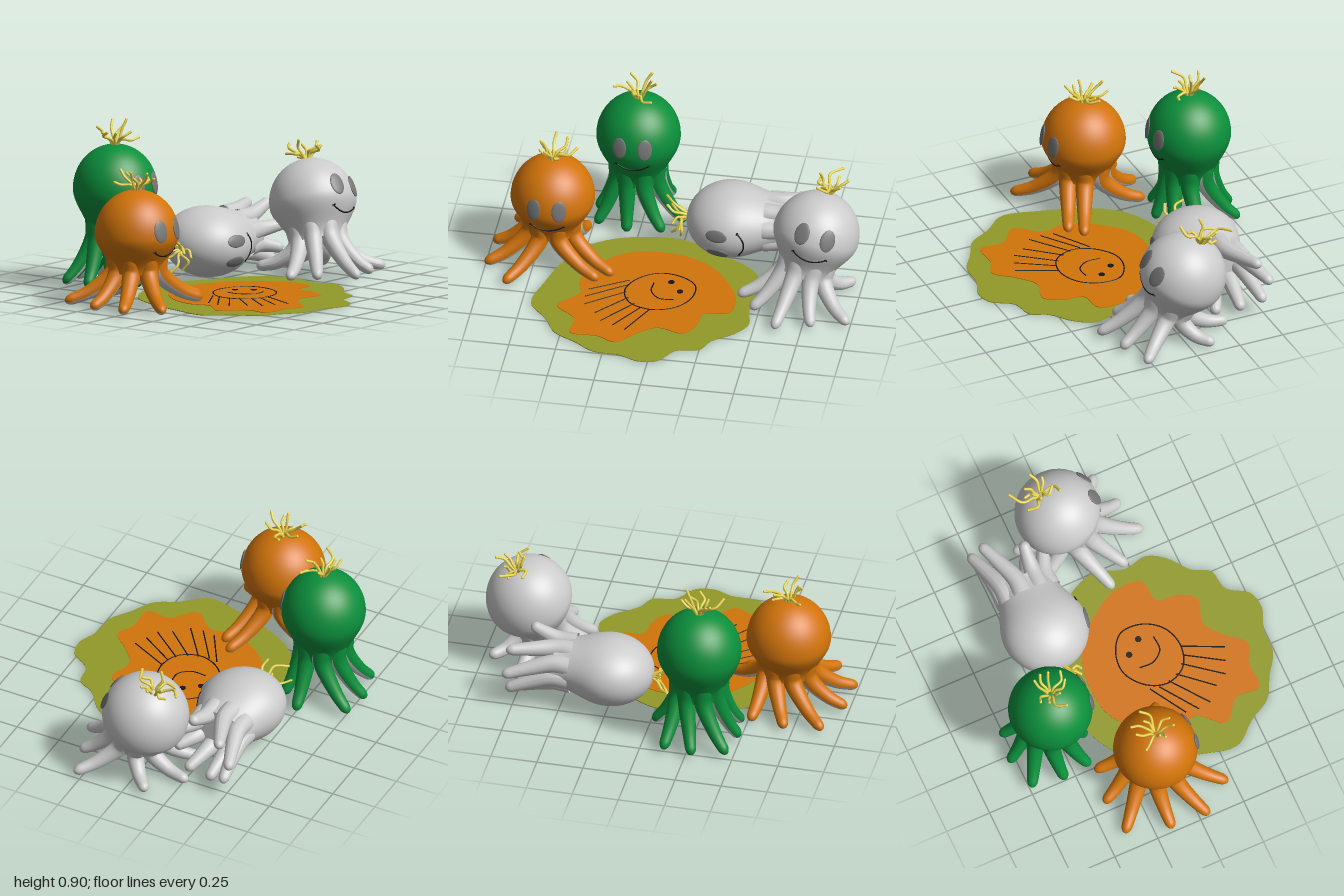
import * as THREE from 'three';

const V = (x, y, z) => new THREE.Vector3(x, y, z);
const mat = (color) => new THREE.MeshStandardMaterial({ color, side: THREE.DoubleSide });
const GREY = mat(0xcccccc), ORANGE = mat(0xd2740a), GREEN = mat(0x0b8f3c);
const YELLOW = mat(0xeed850), EYE = mat(0x777777), INK = mat(0x151515), OLIVE = mat(0x929a28);
const TOP = 0.235, WIDE = 0.224;

let seed = 7;
const rnd = () => (seed = (seed * 16807) % 2147483647) / 2147483647;

function add(parent, name, geometry, material) {
  const m = new THREE.Mesh(geometry, material);
  m.name = name;
  parent.add(m);
  return m;
}

const tube = (pts, r, n = 16, closed = false) =>
  new THREE.TubeGeometry(new THREE.CatmullRomCurve3(pts, closed), n, r, 6, closed);

// Radius below the widest point, easing into the neck
const lowerR = (y, neck) =>
  neck.r + (WIDE - neck.r) * 0.5 * (1 + Math.cos((Math.PI * y) / neck.y));

function headGeometry(neck) {
  const pts = [];
  for (let i = 0; i <= 14; i++) {
    const y = neck.y * (1 - i / 14);
    pts.push(new THREE.Vector2(lowerR(y, neck), y));
  }
  for (let i = 1; i <= 14; i++) {
    const a = (i / 14) * Math.PI / 2;
    pts.push(new THREE.Vector2(i === 14 ? 0 : WIDE * Math.cos(a), TOP * Math.sin(a)));
  }
  return new THREE.LatheGeometry(pts, 48);
}

// Tapered strip of an arm's skin between two angles around its centre line
function armSkin(curve, side, radius, from, to, seg) {
  const pos = [], idx = [], n = 32;
  for (let i = 0; i <= n; i++) {
    const t = 1 - (1 - i / n) ** 1.5;
    const p = curve.getPointAt(t), T = curve.getTangentAt(t);
    const S = side.clone().addScaledVector(T, -side.dot(T)).normalize();
    const N = T.clone().cross(S);
    const tip = t > 0.9 ? Math.sqrt(Math.max(0, 1 - ((t - 0.9) / 0.1) ** 2)) : 1;
    const r = radius * (1 - 0.52 * t) * tip;
    for (let j = 0; j <= seg; j++) {
      const a = from + ((to - from) * j) / seg;
      const q = p.clone().addScaledVector(N, r * Math.cos(a)).addScaledVector(S, r * Math.sin(a));
      pos.push(q.x, q.y, q.z);
      if (i < n && j < seg) {
        const k = i * (seg + 1) + j, m = k + seg + 1;
        idx.push(k, m, k + 1, k + 1, m, m + 1);
      }
    }
  }
  const g = new THREE.BufferGeometry();
  g.setAttribute('position', new THREE.Float32BufferAttribute(pos, 3));
  g.setIndex(idx);
  g.computeVertexNormals();
  return g;
}

function octopus(name, { center, up, face, skin, tips, neck, scale = V(1, 1, 1), sag = 0.03 }) {
  const g = new THREE.Group();
  g.name = name;

  // Head frame: y along the crown axis, z towards the face
  const Y = up.clone().normalize(), X = Y.clone().cross(face).normalize(), Z = X.clone().cross(Y);
  const head = new THREE.Group();
  head.name = 'headGroup';
  head.position.copy(center);
  head.quaternion.setFromRotationMatrix(new THREE.Matrix4().makeBasis(X, Y, Z));
  head.scale.copy(scale);
  head.updateMatrix();
  g.add(head);
  add(head, 'head', headGeometry(neck), skin);
  const under = add(head, 'underside', new THREE.CircleGeometry(neck.r, 32), GREY);
  under.rotation.x = Math.PI / 2;
  under.position.y = neck.y;

  // Eyes
  for (const s of [-1, 1]) {
    const eye = add(head, 'eye', new THREE.SphereGeometry(1, 24, 12), EYE);
    const p = V(s * 0.068, 0.04, 0.209);
    eye.position.copy(p);
    eye.quaternion.setFromUnitVectors(V(0, 0, 1), p.normalize());
    eye.scale.set(0.04, 0.06, 0.009);
  }

  // Smile hugging the head surface, with a small tick at each corner
  const onFace = (x, y) => V(x, y, Math.sqrt(lowerR(y, neck) ** 2 - x * x) + 0.001);
  const smile = [];
  for (let i = -4; i <= 4; i++) smile.push(onFace(0.0215 * i, -0.103 + 0.031 * (i / 4) ** 2));
  add(head, 'mouth', tube(smile, 0.004), INK);
  for (const s of [-1, 1])
    add(head, 'mouthCorner', tube([onFace(s * 0.094, -0.074), onFace(s * 0.08, -0.066)], 0.004, 4), INK);

  // Tuft of hair
  for (let i = 0; i < 9; i++) {
    const a = i * 0.7 + rnd() * 0.5, reach = 0.05 + rnd() * 0.085, h = 0.03 + rnd() * 0.1;
    const bend = (rnd() - 0.5) * 0.9;
    const at = (r, y, b) => V(r * Math.cos(a + b), TOP + y, r * Math.sin(a + b));
    const end = at(reach, h, bend);
    add(head, 'hair', tube([at(0.01, -0.015, 0), at(0.03, 0.025, 0), at(reach * 0.7, h * 0.65, -bend * 0.4), end], 0.0075), YELLOW);
    add(head, 'hairTip', new THREE.SphereGeometry(0.0075, 8, 6), YELLOW).position.copy(end);
  }

  // Eight arms growing out of the neck, coloured outside and grey inside
  tips.forEach(([x, y, z], i) => {
    const a = ((i + 0.5) * Math.PI) / 4;
    const local = (r, h) => V(Math.cos(a) * r, h, Math.sin(a) * r).applyMatrix4(head.matrix);
    const p1 = local(neck.r - 0.022, neck.y), tip = V(x, y, z);
    const mid = p1.clone().lerp(tip, 0.5).addScaledVector(Y, -sag);
    const curve = new THREE.CatmullRomCurve3([local(neck.r - 0.028, neck.y + 0.09), p1, mid, tip]);
    const out = tip.clone().sub(p1);
    out.addScaledVector(Y, -out.dot(Y)).normalize();
    const side = Y.clone().cross(out);
    const half = Math.PI * 0.6;
    add(g, 'armOuter', armSkin(curve, side, 0.056, -half, half, 12), skin);
    add(g, 'armInner', armSkin(curve, side, 0.056, half, 2 * Math.PI - half, 8), GREY);
  });
  return g;
}

// Flat wavy patch on the ground from [x, z] outline points
function patch(parent, name, outline, y, depth, material) {
  const c = new THREE.CatmullRomCurve3(outline.map(([x, z]) => V(x, -z, 0)), true);
  const shape = new THREE.Shape(c.getPoints(140).map((p) => new THREE.Vector2(p.x, p.y)));
  const geo = new THREE.ExtrudeGeometry(shape, { depth, bevelEnabled: false });
  geo.rotateX(-Math.PI / 2);
  add(parent, name, geo, material).position.y = y;
}

function rug() {
  const g = new THREE.Group();
  g.name = 'rug';
  patch(g, 'rugBorder', [[-0.35, -0.32], [-0.12, -0.37], [0.02, -0.36], [0.2, -0.27], [0.38, -0.17], [0.44, -0.1],
    [0.5, 0.06], [0.45, 0.22], [0.47, 0.35], [0.41, 0.45], [0.3, 0.54], [0.25, 0.63], [0.13, 0.66], [0.05, 0.77],
    [-0.05, 0.79], [-0.16, 0.75], [-0.3, 0.74], [-0.41, 0.67], [-0.53, 0.6], [-0.6, 0.48], [-0.7, 0.35],
    [-0.66, 0.14], [-0.6, -0.05], [-0.5, -0.22]], 0, 0.004, OLIVE);
  patch(g, 'rugCentre', [[-0.26, -0.2], [0, -0.22], [0.17, -0.15], [0.3, 0], [0.36, 0.12], [0.35, 0.27], [0.22, 0.3],
    [0.2, 0.41], [0.14, 0.5], [0, 0.47], [-0.1, 0.54], [-0.2, 0.64], [-0.3, 0.6], [-0.45, 0.59], [-0.45, 0.46],
    [-0.56, 0.35], [-0.46, 0.22], [-0.48, 0.1], [-0.42, -0.05]], 0.004, 0.003, ORANGE);

  // Line drawing: face, eyes, smile and arms
  const line = (name, pts, closed) =>
    add(g, name, tube(pts.map(([x, z]) => V(x, 0.006, z)), 0.004, closed ? 60 : 16, closed), INK);
  line('drawnHead', [[0.04, -0.02], [0.13, 0.05], [0.13, 0.17], [0.06, 0.27], [-0.06, 0.31], [-0.18, 0.27],
    [-0.23, 0.16], [-0.19, 0.05], [-0.08, -0.03]], true);
  line('drawnSmile', [[-0.09, 0.06], [-0.09, 0.14], [-0.04, 0.2], [0.04, 0.2]]);
  for (const [x, z] of [[0, 0.04], [0.06, 0.12]]) {
    const e = add(g, 'drawnEye', new THREE.CylinderGeometry(0.017, 0.017, 0.005, 16), INK);
    e.position.set(x, 0.007, z);
  }
  for (const [x0, z0, x1, z1] of [[-0.22, 0.06, -0.42, 0.18], [-0.23, 0.11, -0.43, 0.25], [-0.22, 0.17, -0.42, 0.32],
    [-0.2, 0.22, -0.35, 0.39], [-0.16, 0.27, -0.31, 0.46], [-0.12, 0.3, -0.24, 0.49], [-0.07, 0.31, -0.17, 0.52]])
    line('drawnArm', [[x0, z0], [x1, z1]]);
  return g;
}

export function createModel() {
  const model = new THREE.Group();
  model.name = 'octopusParty';
  const ground = (list) => list.map(([x, z]) => [x, 0.024, z]);
  const up = V(0, 1, 0), front = V(0, 0, 1);

  model.add(rug());
  model.add(octopus('orangeOctopus', {
    center: V(-0.662, 0.386, -0.11), up, face: front, skin: ORANGE, neck: { y: -0.2, r: 0.143 },
    tips: ground([[-0.31, 0.05], [-0.38, 0.11], [-0.87, 0.22], [-1, 0.05], [-0.99, -0.16], [-0.91, -0.4],
      [-0.71, -0.43], [-0.52, -0.4]]),
  }));
  model.add(octopus('greenOctopus', {
    center: V(-0.277, 0.532, -0.545), up, face: front, skin: GREEN, neck: { y: -0.26, r: 0.135 },
    tips: ground([[-0.02, -0.51], [-0.12, -0.39], [-0.31, -0.36], [-0.48, -0.41], [-0.5, -0.56], [-0.47, -0.74],
      [-0.29, -0.79], [-0.13, -0.77]]),
  }));
  model.add(octopus('greyOctopus', {
    center: V(0.766, 0.365, -0.022), up: V(0.22, 0.9, -0.33), face: front, skin: GREY,
    neck: { y: -0.22, r: 0.135 }, scale: V(1.03, 1, 1.04),
    tips: ground([[0.99, 0.29], [0.8, 0.35], [0.61, 0.4], [0.46, 0.24], [0.37, 0.12], [0.56, -0.24],
      [0.78, -0.28], [0.96, -0.12]]),
  }));
  model.add(octopus('lyingOctopus', {
    center: V(0.255, 0.193, -0.335), up: V(-1, -0.04, 0), face: V(0, -0.12, 1), skin: GREY,
    neck: { y: -0.29, r: 0.15 }, scale: V(0.83, 1, 1.05), sag: 0.01,
    tips: [[0.7, 0.36, -0.26], [0.7, 0.25, -0.14], [0.66, 0.12, -0.14], [0.72, 0.04, -0.24], [0.74, 0.04, -0.38],
      [0.79, 0.09, -0.49], [0.8, 0.2, -0.53], [0.79, 0.32, -0.47]],
  }));
  return model;
}
